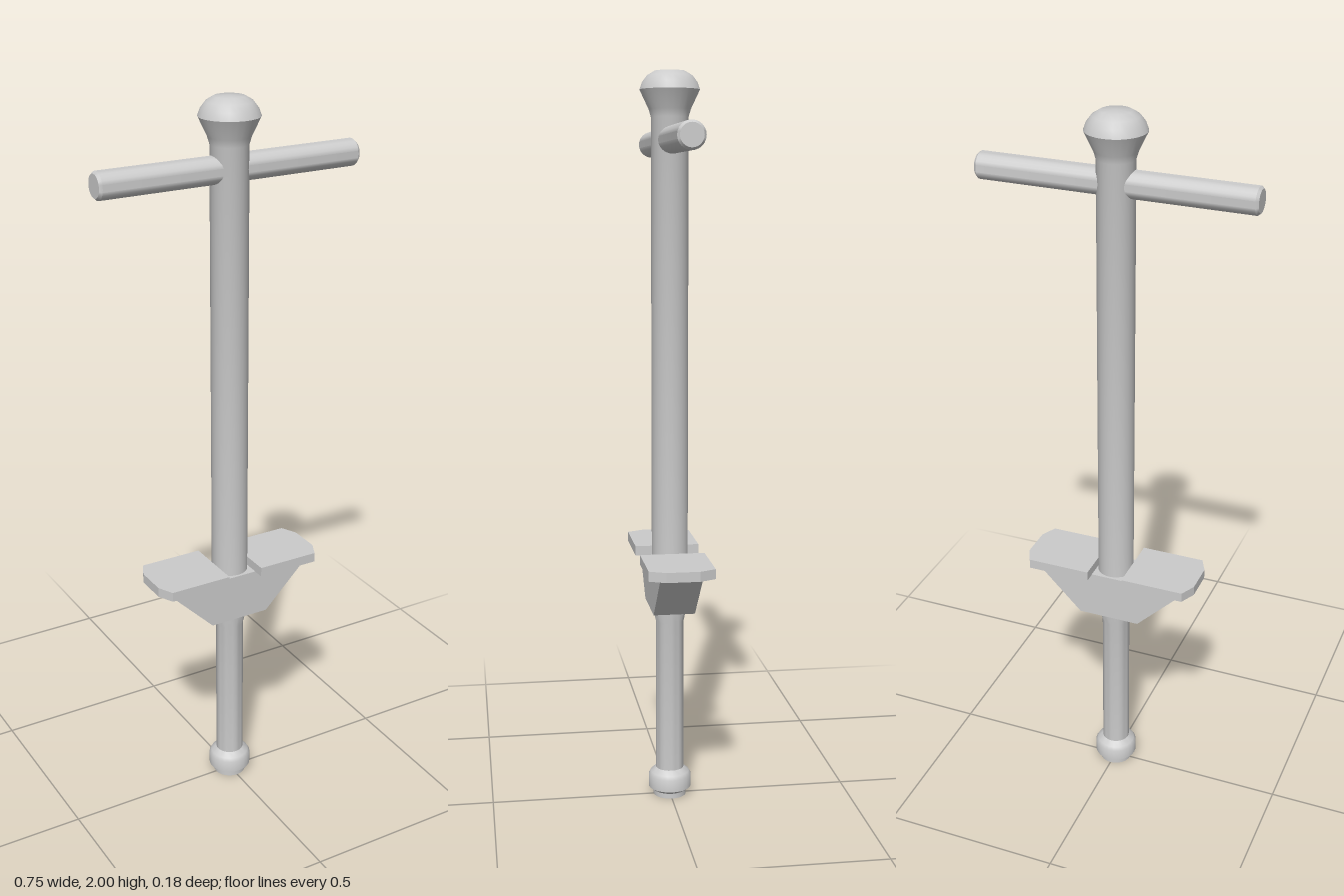
import * as THREE from 'three';
import { toCreasedNormals } from 'three/addons/utils/BufferGeometryUtils.js';

const material = new THREE.MeshStandardMaterial({ color: 0xcccccc });

function part(name, geometry, parent) {
  const mesh = new THREE.Mesh(geometry, material);
  mesh.name = name;
  parent.add(mesh);
  return mesh;
}

// Round part from [radius, height] pairs, bottom to top
function turned(profile, segments = 24) {
  const points = profile.map(([r, y]) => new THREE.Vector2(r, y));
  return toCreasedNormals(new THREE.LatheGeometry(points, segments), 0.6);
}

// Flat-sided part from an outline
function slab(outline, depth) {
  const shape = new THREE.Shape(outline.map(([x, y]) => new THREE.Vector2(x, y)));
  return new THREE.ExtrudeGeometry(shape, { depth, bevelEnabled: false });
}

export function createModel() {
  const model = new THREE.Group();
  model.name = 'pogoStick';

  // Main tube with flared neck and domed knob
  part('upperTubeAndKnob', turned([
    [0, 0.68], [0.05, 0.68], [0.05, 1.88], [0.056, 1.9], [0.08, 1.95],
    [0.073, 1.969], [0.06, 1.986], [0.04, 1.998], [0, 2],
  ]), model);

  // Crossbar with chamfered ends
  const handle = part('handlebar', turned([
    [0, -0.373], [0.03, -0.373], [0.036, -0.366],
    [0.036, 0.366], [0.03, 0.373], [0, 0.373],
  ]), model);
  handle.rotation.z = -Math.PI / 2;
  handle.position.y = 1.82;

  // Tapered block carrying the foot plates
  const bracket = part('footBracket', slab(
    [[-0.087, 0.55], [0.087, 0.55], [0.222, 0.685], [-0.222, 0.685]], 0.114), model);
  bracket.position.z = -0.057;

  // Foot plates with clipped outer corners
  for (const side of [1, -1]) {
    const plate = part(side > 0 ? 'leftFootPlate' : 'rightFootPlate', slab([
      [0.051, -0.089], [0.228, -0.089], [0.249, -0.045],
      [0.249, 0.045], [0.228, 0.089], [0.051, 0.089],
    ], 0.027), model);
    plate.rotation.set(-Math.PI / 2, 0, side > 0 ? 0 : Math.PI);
    plate.position.y = 0.684;
  }

  // Plunger shaft, widening under the bracket
  part('lowerShaft', turned([
    [0.039, 0.05], [0.039, 0.51], [0.047, 0.545], [0.047, 0.56], [0, 0.56],
  ]), model);

  // Rubber tip
  part('rubberTip', turned([
    [0, 0], [0.046, 0], [0.046, 0.014], [0.06, 0.024],
    [0.06, 0.058], [0.054, 0.068], [0.039, 0.08],
  ]), model);

  return model;
}
